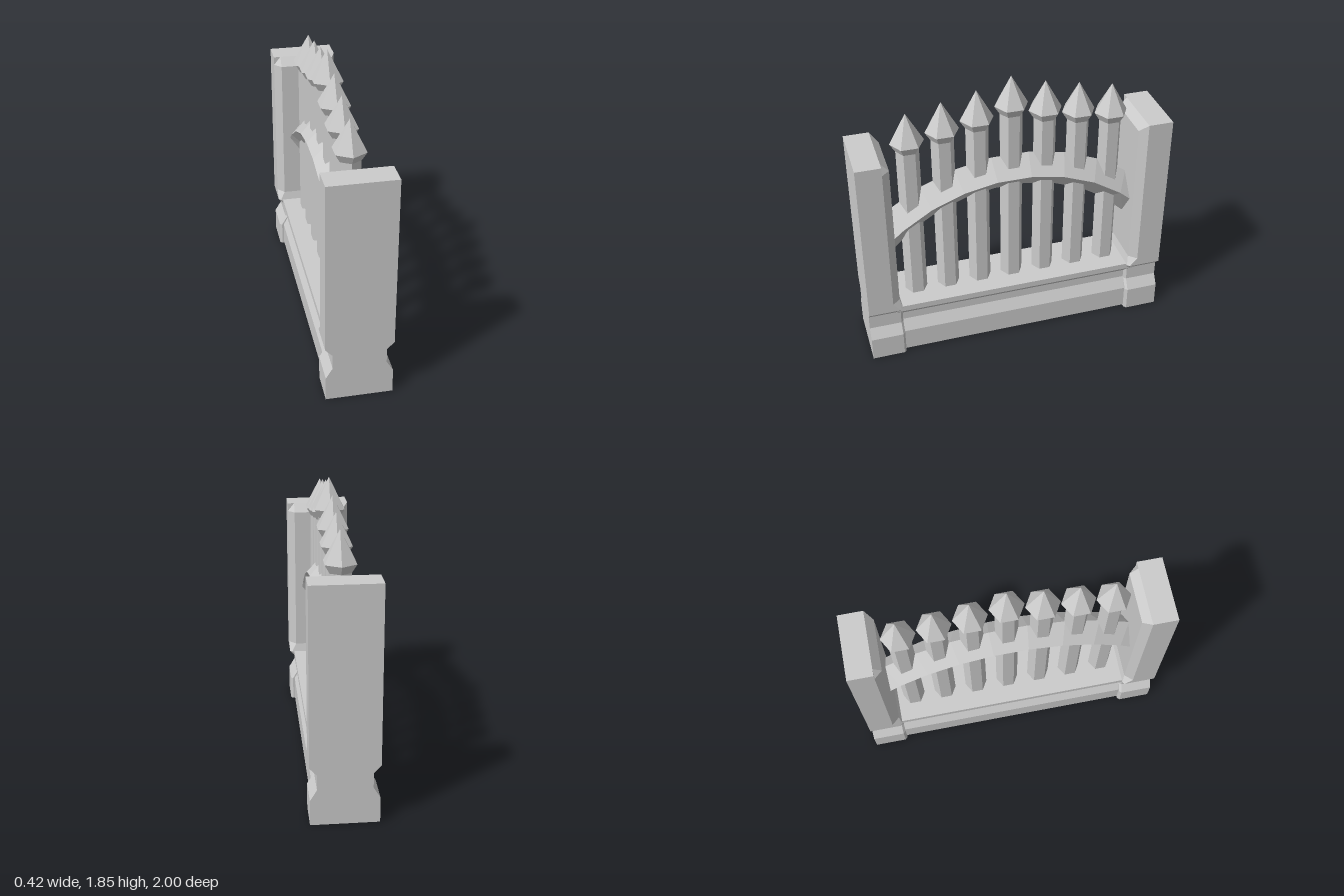
import * as THREE from 'three';

const material = new THREE.MeshStandardMaterial({ color: 0xcccccc, flatShading: true });

// Skins a list of equal-length convex rings and caps both ends
function loft(rings) {
  const pos = [];
  const tri = (a, b, c) => pos.push(...a, ...b, ...c);
  const n = rings[0].length;
  for (let i = 0; i < rings.length - 1; i++) {
    for (let j = 0; j < n; j++) {
      const k = (j + 1) % n;
      const [a, b, c, d] = [rings[i][j], rings[i][k], rings[i + 1][k], rings[i + 1][j]];
      tri(a, b, c);
      tri(a, c, d);
    }
  }
  const first = rings[0], last = rings[rings.length - 1];
  for (let j = 1; j < n - 1; j++) {
    tri(first[0], first[j + 1], first[j]);
    tri(last[0], last[j], last[j + 1]);
  }
  const geometry = new THREE.BufferGeometry();
  geometry.setAttribute('position', new THREE.Float32BufferAttribute(pos, 3));
  geometry.computeVertexNormals();
  return geometry;
}

function addMesh(parent, name, geometry) {
  const mesh = new THREE.Mesh(geometry, material);
  mesh.name = name;
  parent.add(mesh);
  return mesh;
}

// End post: necked base, chamfered inner edges above it
function postGeometry() {
  // y, half width, z of chamfer start, z of inner face, chamfer in x
  const levels = [
    [0, 0.207, 0.79, 0.775, 0.015],
    [0.16, 0.207, 0.79, 0.775, 0.015],
    [0.23, 0.165, 0.79, 0.775, 0.015],
    [0.325, 0.165, 0.79, 0.775, 0.015],
    [0.373, 0.21, 0.79, 0.775, 0.015],
    [0.43, 0.21, 0.84, 0.79, 0.045],
    [1.42, 0.21, 0.84, 0.79, 0.045],
    [1.475, 0.21, 0.84, 0.84, 0.045],
  ];
  return loft(levels.map(([y, w, zc, zi, c]) => [
    [w, y, 1], [w, y, zc], [w - c, y, zi], [c - w, y, zi], [-w, y, zc], [-w, y, 1],
  ]));
}

// Low wall between the posts, with a recessed band
function wallGeometry() {
  const levels = [[0.01, 0.18], [0.16, 0.18], [0.235, 0.14], [0.29, 0.14], [0.335, 0.18], [0.375, 0.18]];
  return loft(levels.map(([y, w]) => [[w, y, 0.82], [w, y, -0.82], [-w, y, -0.82], [-w, y, 0.82]]));
}

// Diamond-section arch, cut upright at the posts
function archGeometry() {
  const radii = [1.177, 1.295, 1.177, 1.06];
  const xs = [0.115, 0, -0.115, 0];
  const end = 0.8;
  const endRing = (z) => radii.map((r, i) => [xs[i], Math.sqrt(r * r - z * z), z]);
  const rings = [endRing(-end)];
  for (let k = -3.5; k <= 3.5; k++) {
    const a = THREE.MathUtils.degToRad(k * 10.8);
    rings.push(radii.map((r, i) => [xs[i], r * Math.cos(a), r * Math.sin(a)]));
  }
  rings.push(endRing(end));
  return loft(rings);
}

// Hexagonal picket with a flared spear head
function makePicket(tip) {
  const picket = new THREE.Group();
  picket.name = 'picket';
  const base = 0.36, neck = tip - 0.25, wide = tip - 0.195;
  const part = (name, top, bottom, y0, y1) => {
    const geometry = new THREE.CylinderGeometry(top, bottom, y1 - y0, 6, 1, true);
    addMesh(picket, name, geometry).position.y = (y0 + y1) / 2;
  };
  part('picketShaft', 0.073, 0.073, base, neck);
  part('picketCollar', 0.107, 0.073, neck, wide);
  part('picketPoint', 0, 0.107, wide, tip);
  return picket;
}

export function createModel() {
  const model = new THREE.Group();
  model.name = 'fenceSection';

  const post = postGeometry();
  addMesh(model, 'frontPost', post);
  addMesh(model, 'backPost', post).rotation.y = Math.PI;
  addMesh(model, 'baseWall', wallGeometry());
  addMesh(model, 'archRail', archGeometry());

  // Pickets rise toward the middle
  const tips = [1.845, 1.78, 1.735, 1.692];
  for (let i = -3; i <= 3; i++) {
    const picket = makePicket(tips[Math.abs(i)]);
    picket.position.z = i * 0.218 - 0.008;
    model.add(picket);
  }
  return model;
}
